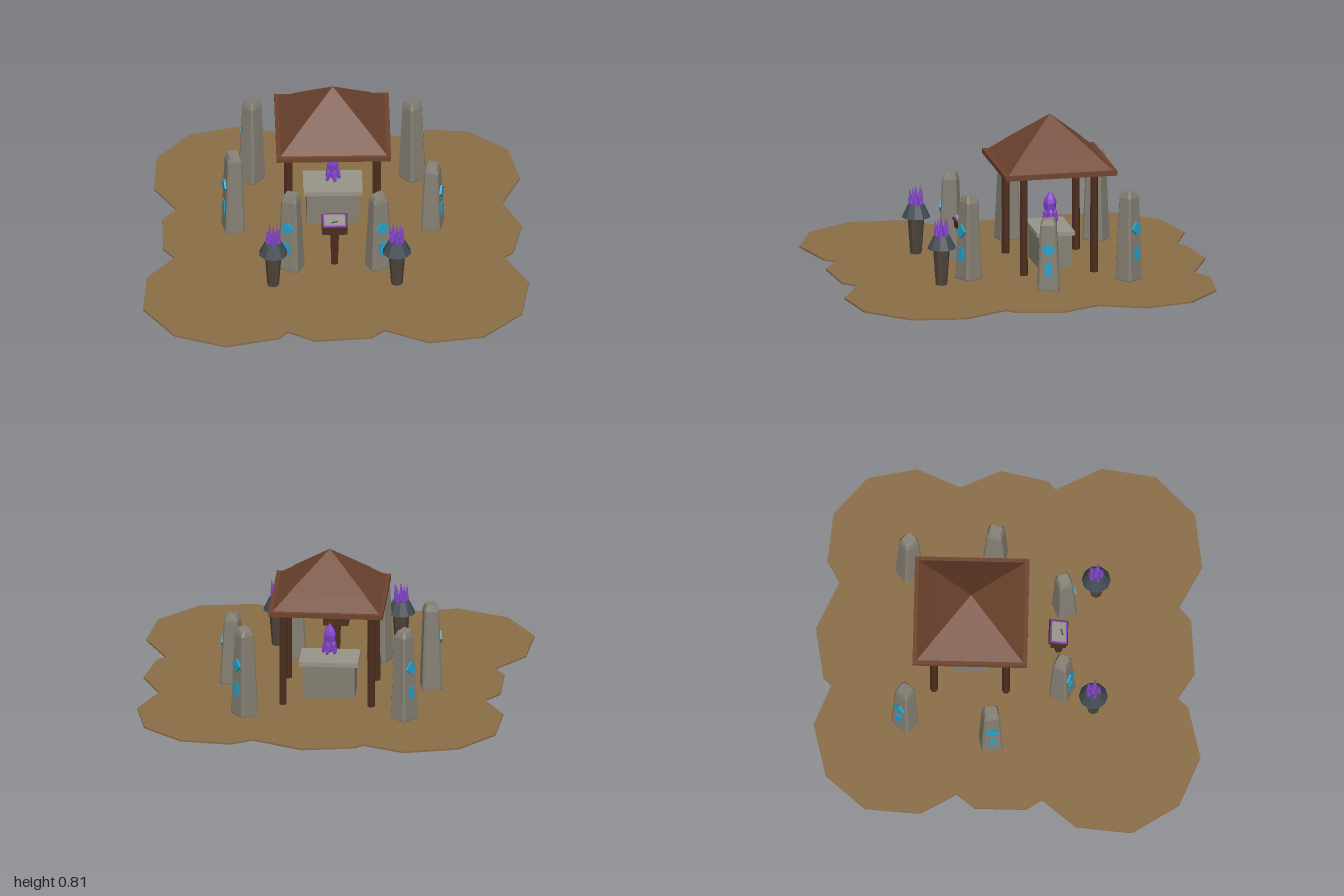
import * as THREE from 'three';
import { ConvexGeometry } from 'three/addons/geometries/ConvexGeometry.js';

const mat = (name, color) => {
  const m = new THREE.MeshStandardMaterial({ color, flatShading: true });
  m.name = name;
  return m;
};

export function createModel() {
  const earth = mat('earth', 0x8b6d47);
  const roofWood = mat('roofWood', 0x6e432e);
  const darkWood = mat('darkWood', 0x4d2e1e);
  const stone = mat('stone', 0x858074);
  const paleStone = mat('paleStone', 0x98948a);
  const cyan = mat('cyanRune', 0x22a2cc);
  const purple = mat('purpleCrystal', 0x8243c8);
  const slate = mat('slate', 0x434a52);
  const torchWood = mat('torchWood', 0x4f443a);

  const root = new THREE.Group();
  root.name = 'crystalShrine';
  const add = (parent, name, geo, material, x = 0, y = 0, z = 0) => {
    const m = new THREE.Mesh(geo, material);
    m.name = name;
    m.position.set(x, y, z);
    parent.add(m);
    return m;
  };
  const group = (name, x, z) => {
    const g = new THREE.Group();
    g.name = name;
    g.position.set(x, 0, z);
    root.add(g);
    return g;
  };
  let seed = 7;
  const jitter = (a) => {
    seed = (seed * 16807) % 2147483647;
    return (seed / 2147483647 - 0.5) * 2 * a;
  };
  // square frustum given by half widths
  const frustum = (top, bottom, h) =>
    new THREE.CylinderGeometry(top * Math.SQRT2, bottom * Math.SQRT2, h, 4).rotateY(Math.PI / 4);

  // scalloped patch of ground
  const outline = [
    [-0.725, -0.93], [-0.445, -1], [-0.23, -0.915], [-0.19, -0.955], [0.08, -1], [0.34, -0.885],
    [0.45, -0.95], [0.71, -0.925], [0.91, -0.755], [0.965, -0.5], [0.87, -0.275], [0.965, -0.07],
    [0.915, 0.175], [0.87, 0.215], [0.99, 0.45], [0.95, 0.73], [0.75, 0.935], [0.465, 0.98],
    [0.24, 0.865], [0.17, 0.93], [-0.12, 0.955], [-0.26, 0.87], [-0.305, 0.925], [-0.58, 0.995],
    [-0.845, 0.89], [-1, 0.65], [-0.975, 0.365], [-0.83, 0.185], [-0.885, 0.105], [-0.885, -0.16],
    [-0.81, -0.255], [-0.92, -0.44], [-0.9, -0.725],
  ].map(([x, z]) => new THREE.Vector2(x, -z));
  const groundGeo = new THREE.ExtrudeGeometry(new THREE.Shape(outline), { depth: 0.009, bevelEnabled: false });
  add(root, 'ground', groundGeo.rotateX(-Math.PI / 2), earth, 0, 0.014, 0);

  // pavilion: four hexagonal posts and a two-tier hipped roof
  const pavilion = group('pavilion', -0.006, -0.2);
  for (const sx of [-1, 1]) for (const sz of [-1, 1]) {
    add(pavilion, 'post', new THREE.CylinderGeometry(0.02, 0.021, 0.545, 6), darkWood, sx * 0.228, 0.2775, sz * 0.185);
  }
  add(pavilion, 'eaves', new THREE.BoxGeometry(0.59, 0.024, 0.59), roofWood, 0, 0.557, 0);
  add(pavilion, 'lowerRoof', frustum(0.19, 0.274, 0.076), roofWood, 0, 0.607, 0);
  add(pavilion, 'upperRoof', frustum(0, 0.2, 0.176), roofWood, 0, 0.727, 0);

  // six-sided pointed crystal
  const crystal = (r, h) => new THREE.LatheGeometry([
    [0, 0], [r * 0.65, h * 0.1], [r, h * 0.62], [r * 0.8, h * 0.75], [0, h],
  ].map(([x, y]) => new THREE.Vector2(x, y)), 6);

  // altar with its crystal cluster
  const altar = group('altar', -0.006, -0.2);
  add(altar, 'altarBody', new THREE.BoxGeometry(0.27, 0.195, 0.17), stone, 0, 0.1025, 0);
  add(altar, 'altarTop', new THREE.BoxGeometry(0.305, 0.023, 0.2), paleStone, 0, 0.21, 0);
  add(altar, 'mainCrystal', crystal(0.035, 0.165), purple, 0, 0.24, 0);
  for (let i = 0; i < 5; i++) {
    const a = (i / 5) * Math.PI * 2 + 0.3;
    const c = add(altar, 'sideCrystal', crystal(0.015, 0.085), purple, Math.sin(a) * 0.036, 0.238, Math.cos(a) * 0.036);
    c.rotation.set(-Math.cos(a) * 0.25, 0, Math.sin(a) * 0.25);
  }

  // lectern with a sloping tablet
  const lectern = group('lectern', -0.006, 0.25);
  add(lectern, 'lecternPost', new THREE.CylinderGeometry(0.027, 0.019, 0.225, 6), darkWood, 0, 0.1175, 0);
  add(lectern, 'lecternHead', new THREE.BoxGeometry(0.13, 0.045, 0.08), darkWood, 0, 0.247, 0);
  const tablet = new THREE.Group();
  tablet.name = 'tablet';
  tablet.position.set(0, 0.279, 0);
  tablet.rotation.x = 0.25;
  lectern.add(tablet);
  add(tablet, 'tabletBoard', new THREE.BoxGeometry(0.134, 0.012, 0.1), darkWood);
  add(tablet, 'tabletBorder', new THREE.BoxGeometry(0.122, 0.006, 0.088), purple, 0, 0.008, 0);
  add(tablet, 'tabletPage', new THREE.BoxGeometry(0.106, 0.004, 0.074), paleStone, 0, 0.011, 0);
  add(tablet, 'tabletMark', new THREE.BoxGeometry(0.035, 0.003, 0.008), slate, 0, 0.013, 0.015).rotation.y = 0.3;

  // tapered standing stones facing outward, each with two rune plates
  const standingStone = (x, z, h) => {
    const g = group('standingStone', x, z);
    g.rotation.y = Math.atan2(x, z + 0.2);
    const pts = [];
    // levels: y, half width, half depth, corner cut
    for (const [y, w, d, c] of [
      [0, 0.052, 0.045, 0.012], [0.03, 0.057, 0.051, 0.01],
      [h - 0.035, 0.041, 0.038, 0.009], [h, 0.031, 0.027, 0.008],
    ]) {
      const tilt = y === h ? jitter(0.008) : 0;
      for (const sx of [-1, 1]) for (const sz of [-1, 1]) {
        const py = y === h ? h - 0.004 + tilt * sx * 0.5 : y;
        const jx = jitter(0.002), jz = jitter(0.002);
        pts.push(new THREE.Vector3(sx * w + jx, py, sz * (d - c) + jz));
        pts.push(new THREE.Vector3(sx * (w - c) + jx, py, sz * d + jz));
      }
    }
    add(g, 'stoneBody', new ConvexGeometry(pts), stone);
    const slope = Math.atan2(0.013, h - 0.065);
    const faceZ = (y) => 0.051 - Math.tan(slope) * (y - 0.03);
    const diamond = new THREE.BoxGeometry(0.05, 0.05, 0.016).rotateZ(Math.PI / 4);
    add(g, 'diamondRune', diamond, cyan, 0, h * 0.605, faceZ(h * 0.605) + 0.003).rotation.x = -slope;
    add(g, 'barRune', new THREE.BoxGeometry(0.032, 0.068, 0.012), cyan, 0, h * 0.34, faceZ(h * 0.34) + 0.001).rotation.x = -slope;
  };
  [
    [-0.415, -0.53, 0.51], [-0.52, -0.085, 0.485], [-0.23, 0.275, 0.475],
    [0.22, 0.275, 0.465], [0.505, -0.085, 0.4], [0.41, -0.53, 0.495],
  ].forEach((s) => standingStone(...s));

  // torches: tapered pole, flared collar and crystal flames
  for (const x of [-0.326, 0.311]) {
    const torch = group('torch', x, 0.437);
    add(torch, 'torchPole', new THREE.CylinderGeometry(0.045, 0.029, 0.215, 8), torchWood, 0, 0.1175, 0);
    add(torch, 'torchCollar', new THREE.CylinderGeometry(0.042, 0.075, 0.068, 10), slate, 0, 0.251, 0);
    add(torch, 'flameCrystal', new THREE.ConeGeometry(0.018, 0.11, 6), purple, 0, 0.33, 0);
    for (let i = 0; i < 5; i++) {
      const a = (i / 5) * Math.PI * 2;
      const c = add(torch, 'flameCrystal', new THREE.ConeGeometry(0.016, 0.1, 6), purple, Math.sin(a) * 0.03, 0.322 + (i % 2) * 0.008, Math.cos(a) * 0.03);
      c.rotation.set(Math.cos(a) * 0.08, 0, -Math.sin(a) * 0.08);
    }
  }
  return root;
}
